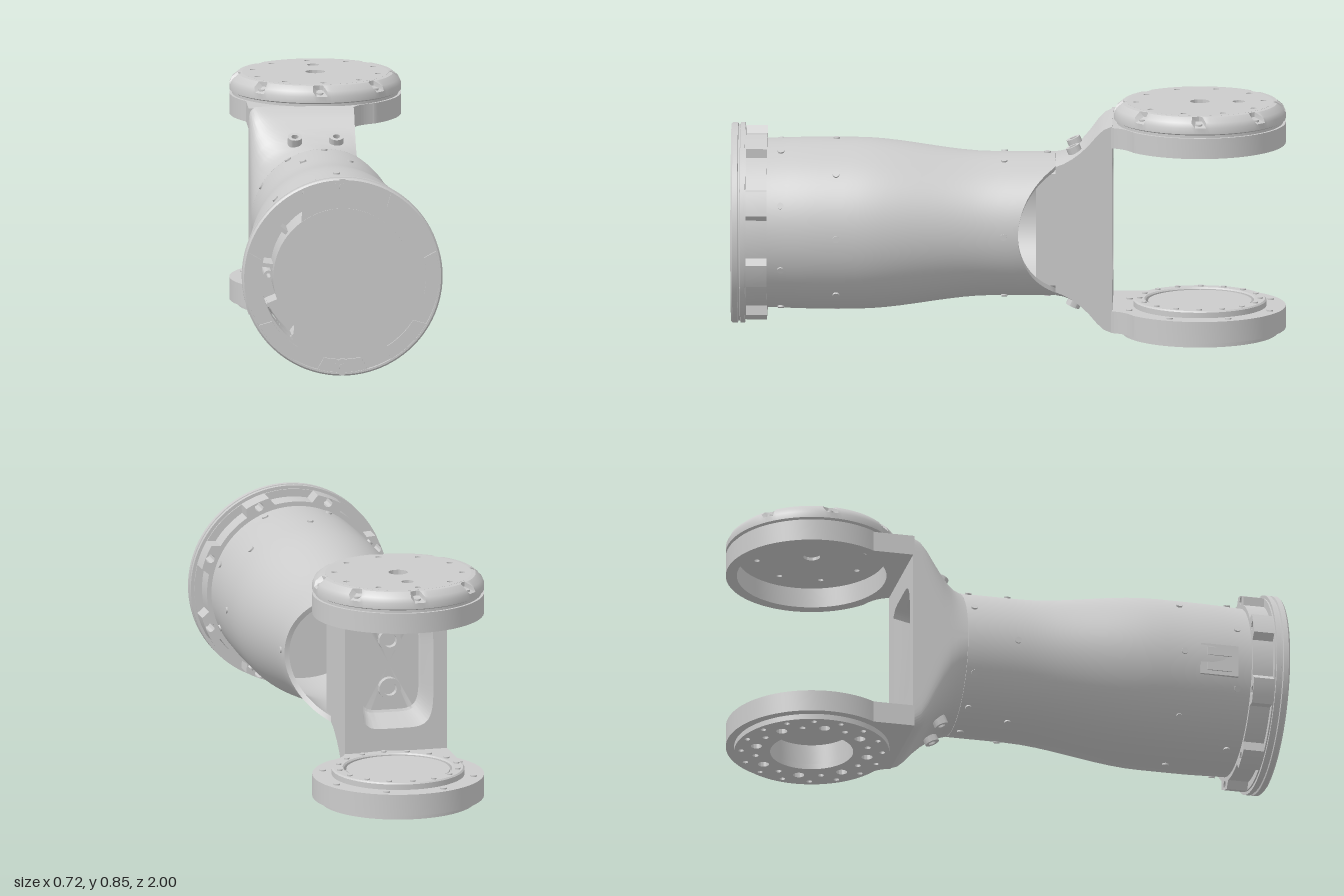
import * as THREE from 'three';
import { toCreasedNormals } from 'three/addons/utils/BufferGeometryUtils.js';

const AXIS = 0.4;   // height of the tube axis
const HUB = -0.69;  // z of the joint axis
const rad = THREE.MathUtils.degToRad;

export function createModel() {
  const root = new THREE.Group();
  const mat = new THREE.MeshStandardMaterial({ color: 0xcccccc });
  const add = (name, geo, parent = root) => {
    const m = new THREE.Mesh(geo, mat);
    m.name = name;
    parent.add(m);
    return m;
  };
  const group = (name, x, y, z) => {
    const g = new THREE.Group();
    g.name = name;
    g.position.set(x, y, z);
    root.add(g);
    return g;
  };
  const crease = (g) => toCreasedNormals(g, 0.5);
  const lathe = (pts, seg = 96) =>
    crease(new THREE.LatheGeometry(pts.map(p => new THREE.Vector2(...p)), seg));

  // Plate in the XY plane with round holes [x, y, r], extruded from z0 to z1
  const plate = (shape, holes, z0, z1) => {
    for (const [x, y, r] of holes) shape.holes.push(new THREE.Path().absarc(x, y, r, 0, Math.PI * 2, true));
    const g = new THREE.ExtrudeGeometry(shape, { depth: z1 - z0, bevelEnabled: false, curveSegments: 40 });
    return crease(g.translate(0, 0, z0));
  };
  const disc = r => new THREE.Shape().absarc(0, 0, r, 0, Math.PI * 2, false);
  const lay = g => g.rotateX(-Math.PI / 2); // shape y becomes -z, depth becomes y
  const polar = (n, r, start, size) => Array.from({ length: n }, (_, i) => {
    const a = rad(start + i * 360 / n);
    return [r * Math.cos(a), r * Math.sin(a), size];
  });

  // Skin over rings of equal point count, running from front to back
  const loft = (rings, cap) => {
    const n = rings[0].length, pos = rings.flat(2), idx = [];
    for (let j = 0; j < rings.length - 1; j++) for (let i = 0; i < n; i++) {
      const k = (i + 1) % n, a = j * n + i, b = j * n + k;
      idx.push(a, a + n, b + n, a, b + n, b);
    }
    if (cap) [0, rings.length - 1].forEach((j, e) => {
      const c = pos.length / 3;
      pos.push(-0.07, 0, rings[j][0][2]);
      for (let i = 0; i < n; i++) {
        const p = j * n + i, q = j * n + (i + 1) % n;
        idx.push(c, e ? q : p, e ? p : q);
      }
    });
    const g = new THREE.BufferGeometry();
    g.setAttribute('position', new THREE.Float32BufferAttribute(pos, 3));
    g.setIndex(idx);
    return crease(g);
  };

  // ---- Tube: waisted shell with a slanted cut at the +x rear ----
  const body = group('tubeBody', 0, AXIS, 0);
  const tubeR = z => 0.26 + 0.05 * THREE.MathUtils.smoothstep(z, 0.05, 0.55)
    - 0.005 * THREE.MathUtils.smoothstep(z, 0.7, 0.9);
  const tubeRing = (t, thick) => Array.from({ length: 96 }, (_, i) => {
    const a = i / 96 * Math.PI * 2;
    const end = -0.17 + Math.max(0, 0.26 * Math.cos(a) - 0.12) * 0.95;
    const z = 0.95 + (end - 0.95) * t, r = tubeR(z) - thick;
    return [r * Math.cos(a), r * Math.sin(a), z];
  });
  const steps = Array.from({ length: 21 }, (_, i) => i / 20);
  add('tubeShell', loft([...steps.map(t => tubeRing(t, 0)),
    ...steps.slice().reverse().map(t => tubeRing(t, 0.018))]), body);

  // Small screws around the shell
  const screwRow = (z, angles) => angles.forEach(d => {
    const a = rad(d), r = tubeR(z);
    const s = add('shellScrew', new THREE.CylinderGeometry(0.012, 0.012, 0.012, 12), body);
    s.position.set(r * Math.cos(a), r * Math.sin(a), z);
    s.rotation.z = a - Math.PI / 2;
  });
  const eight = [0, 1, 2, 3, 4, 5, 6, 7];
  screwRow(0.82, eight.map(i => 22.5 + 45 * i));
  screwRow(0.62, eight.map(i => 45 * i));
  screwRow(0.015, [0, 71, 109, 180, 251, 289]);
  screwRow(-0.14, [90, 120, 150, 210, 240, 270]);
  const cover = group('connectorCover', -0.298, AXIS - 0.02, 0.75);
  add('coverPlate', new THREE.BoxGeometry(0.02, 0.12, 0.14), cover);
  for (const y of [-0.03, 0.03]) add('coverSlot', new THREE.BoxGeometry(0.03, 0.03, 0.09), cover).position.y = y;

  // ---- Mounting flange ----
  const flange = group('mountingFlange', 0, AXIS, 0);
  const bolts = polar(8, 0.335, 22.5, 0.016);
  add('flangeRing', plate(disc(0.35), [[0, 0, 0.293], ...bolts], 0.945, 0.987), flange);
  add('flangeRim', lathe([[0.349, 0.95], [0.362, 0.95], [0.362, 0.966], [0.354, 0.968], [0.354, 0.974],
    [0.362, 0.976], [0.362, 0.994], [0.356, 1], [0.349, 1], [0.349, 0.95]]).rotateX(Math.PI / 2), flange);
  const collar = new THREE.Shape(Array.from({ length: 144 }, (_, i) => {
    const d = i * 2.5, off = Math.abs(((d % 45) + 45) % 45 - 22.5);
    const r = off < 9 ? 0.352 : 0.322;
    return new THREE.Vector2(r * Math.cos(rad(d)), r * Math.sin(rad(d)));
  }));
  add('flangeCollar', plate(collar, [[0, 0, 0.293], ...bolts], 0.87, 0.945), flange);
  for (let i = 0; i < 8; i++) {
    const a = rad(45 * i), w = rad(15);
    const pad = new THREE.Shape().absarc(0, 0, 0.349, a - w, a + w, false);
    pad.absarc(0, 0, 0.302, a + w * 0.85, a - w * 0.85, true);
    add('flangePad', plate(pad, [], 0.985, 0.996), flange);
  }
  for (const s of [-1, 1]) {
    add('flangeBoltHead', plate(disc(0.03), [], 0.985, 0.999), flange).position.y = s * 0.33;
    add('flangeBoltHex', new THREE.CylinderGeometry(0.014, 0.014, 0.01, 6).rotateX(Math.PI / 2), flange)
      .position.set(0, s * 0.33, 0.996);
  }

  // ---- Drive unit set in the open front ----
  const drive = group('driveUnit', 0, AXIS, 0);
  const motor = add('motor', new THREE.CylinderGeometry(0.25, 0.25, 0.29, 96).rotateX(Math.PI / 2), drive);
  motor.position.z = 0.845;
  add('motorSeat', plate(disc(0.292), [], 0.7, 0.82), drive);
  for (let i = 0; i < 12; i++) {
    const a = rad(22.5 + i * 30);
    const rib = add('seatRib', new THREE.BoxGeometry(0.05, 0.014, 0.12), drive);
    rib.position.set(0.275 * Math.cos(a), 0.275 * Math.sin(a), 0.88);
    rib.rotation.z = a;
  }
  for (const [x, y, r] of polar(4, 0.265, 0, 0.018))
    add('seatScrew', plate(disc(r), [[0, 0, 0.008]], 0.82, 0.95), drive).position.set(x, y, 0);

  // ---- Fork neck: round section growing into a tall block, pocketed at the back ----
  const N = 96;
  const superRing = (cx, a, b, n, start, z) => Array.from({ length: N }, (_, i) => {
    const t = start + (2 * Math.PI - 2 * start) * i / (N - 1), c = Math.cos(t), s = Math.sin(t);
    return [cx + a * Math.sign(c) * Math.abs(c) ** (2 / n), b * Math.sign(s) * Math.abs(s) ** (2 / n), z];
  });
  const neckRing = (z, a, b, n) => superRing(0, a, b, n, Math.acos((0.12 / a) ** (n / 2)), z);
  const pocketRing = (z, s) => superRing(-0.07, 0.14 * s, 0.215 * s, 5, Math.PI / 4, z);
  add('forkNeck', loft([
    neckRing(-0.1, 0.238, 0.238, 2), neckRing(-0.17, 0.238, 0.238, 2),
    neckRing(-0.171, 0.26, 0.26, 2), neckRing(-0.2, 0.26, 0.262, 2.3), neckRing(-0.23, 0.26, 0.268, 3),
    neckRing(-0.26, 0.26, 0.283, 4.5), neckRing(-0.29, 0.26, 0.31, 7), neckRing(-0.32, 0.26, 0.345, 11),
    neckRing(-0.345, 0.26, 0.368, 16), neckRing(-0.375, 0.26, 0.38, 22),
    pocketRing(-0.375, 1), pocketRing(-0.33, 0.92), pocketRing(-0.27, 0.84), pocketRing(-0.265, 0.8),
  ], true), group('neck', 0, AXIS, 0));
  for (const s of [-1, 1]) {
    for (const x of [-0.1, 0.05]) {
      const boss = add('neckScrew', plate(disc(0.026), [[0, 0, 0.013]], 0, 0.035));
      boss.position.set(x, AXIS + s * 0.262, -0.245);
      boss.rotation.x = -s * Math.PI / 2 + s * 0.4;
    }
    add('pocketBoss', plate(disc(0.04), [[0, 0, 0.025]], -0.29, -0.26)).position.set(-0.07, AXIS + s * 0.09, 0);
  }

  // ---- Fork arms ----
  const armShape = () => {
    const s = new THREE.Shape().moveTo(-0.26, 0.37);
    s.lineTo(0.12, 0.37);
    s.quadraticCurveTo(0.13, 0.42, 0.199, 0.4525);
    s.absarc(0, -HUB, 0.31, rad(-50), rad(213), false);
    return s;
  };
  add('upperArm', lay(plate(armShape(), [[0, -HUB, 0.27]], 0.7, 0.775)));
  add('lowerArm', lay(plate(armShape(), [[0, -HUB, 0.15]], 0.02, 0.1)));

  // ---- Upper joint cap: chamfered rim with screw notches, drilled top plate ----
  const cap = group('upperCap', 0, 0, HUB);
  const rim = new THREE.LatheGeometry([[0.262, 0.785], [0.3, 0.785], [0.31, 0.79], [0.31, 0.812],
    [0.302, 0.83], [0.28, 0.848], [0.262, 0.85]].map(p => new THREE.Vector2(...p)), 144);
  const p = rim.attributes.position;
  for (let i = 0; i < p.count; i++) {
    const x = p.getX(i), z = p.getZ(i), r = Math.hypot(x, z);
    const d = (Math.atan2(z, x) * 180 / Math.PI + 382.5) % 45 - 22.5;
    if (p.getY(i) > 0.815 && Math.abs(d) < 4.5) {
      const k = Math.min(r, 0.268 + 0.0006 * d * d) / r;
      p.setXYZ(i, x * k, p.getY(i), z * k);
    }
  }
  add('capRim', crease(rim), cap);
  add('capPlate', lay(plate(disc(0.264), [[0, 0, 0.035], [0, 0.14, 0.022],
    ...polar(10, 0.23, 0, 0.011).map(([x, y, r]) => {
      const a = Math.atan2(y, x) + rad(22); // clear of the notches
      return [0.23 * Math.cos(a), 0.23 * Math.sin(a), r];
    })], 0.825, 0.85)), cap);
  add('capCeiling', lay(plate(disc(0.3), polar(8, 0.2, 22.5, 0.01).concat([[0, 0, 0.03]]), 0.775, 0.787)), cap);
  add('capInner', lay(plate(disc(0.26), [], 0.805, 0.825)), cap);
  for (const [x, z] of polar(8, 0.286, 0, 0))
    add('capScrew', new THREE.CylinderGeometry(0.014, 0.014, 0.012, 12), cap).position.set(x, 0.818, z);

  // ---- Lower joint: bearing ring above, drilled plate below ----
  const hub = group('lowerHub', 0, 0, HUB);
  add('bearingRing', lathe([[0.195, 0.095], [0.24, 0.095], [0.24, 0.12], [0.235, 0.125],
    [0.2, 0.125], [0.195, 0.12], [0.195, 0.095]]), hub);
  add('bearingDisc', lay(plate(disc(0.187), [], 0.095, 0.118)), hub);
  for (const [x, z] of polar(16, 0.217, 0, 0))
    add('bearingScrew', new THREE.CylinderGeometry(0.01, 0.01, 0.008, 10), hub).position.set(x, 0.126, z);
  for (const [x, z] of polar(8, 0.275, 22.5, 0))
    add('armScrew', new THREE.CylinderGeometry(0.012, 0.012, 0.008, 10), hub).position.set(x, 0.101, z);
  add('basePlate', lay(plate(disc(0.28), [[0, 0, 0.15], ...polar(8, 0.205, 0, 0.02),
    ...polar(8, 0.205, 22.5, 0.011), ...polar(16, 0.255, 11.25, 0.01)], 0, 0.021)), hub);
  return root;
}
